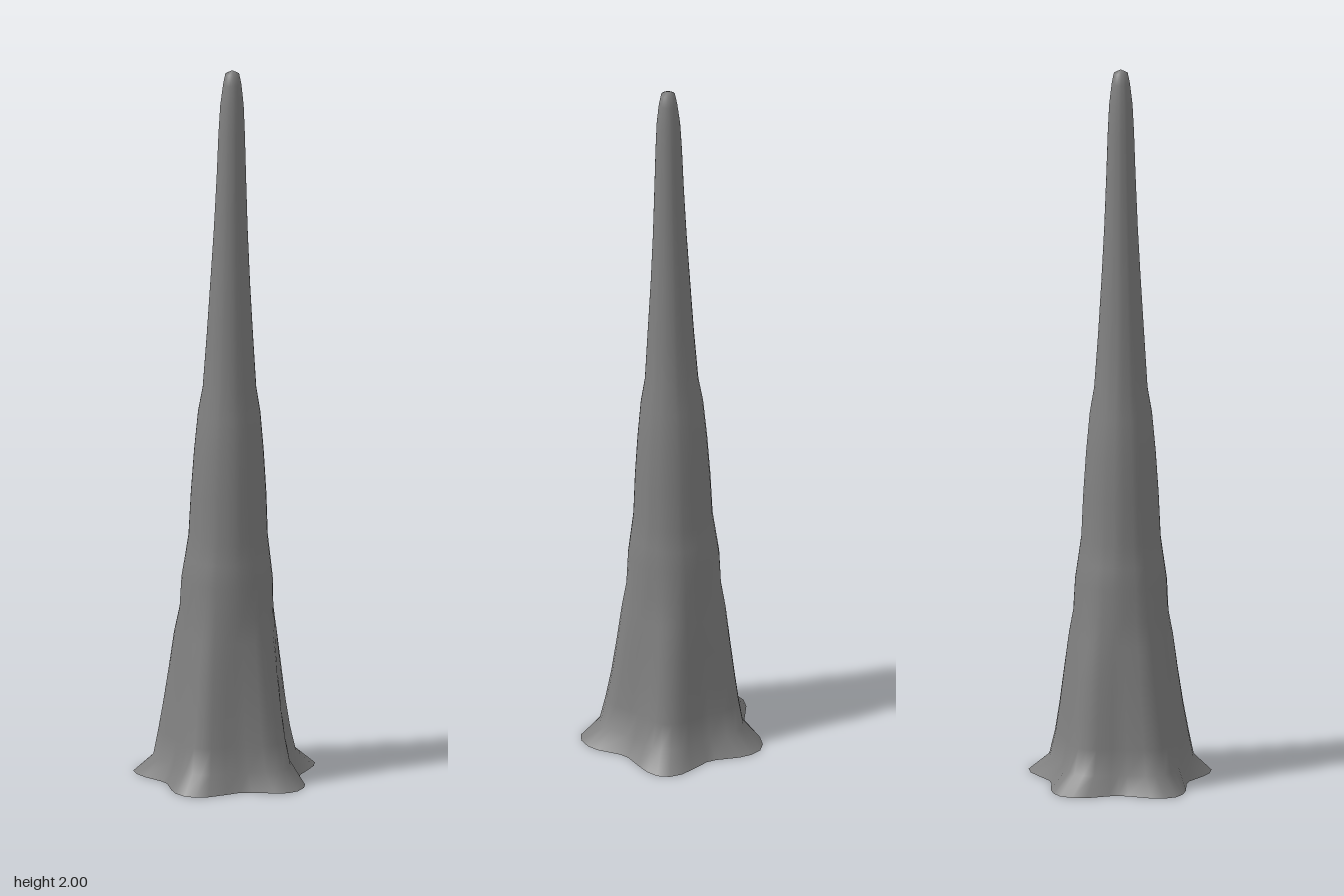
import * as THREE from 'three';

// Five-lobed foot outline as [x, z], running from +x towards +z
const FOOT = [
  [.246, .024], [.235, .056], [.206, .079], [.153, .11], [.126, .13], [.108, .167], [.081, .215], [.056, .238],
  [.024, .246], [-.012, .237], [-.042, .215], [-.087, .172], [-.112, .162], [-.174, .154], [-.21, .142],
  [-.237, .121], [-.247, .088], [-.242, .051], [-.215, -.01], [-.206, -.038], [-.208, -.063], [-.219, -.124],
  [-.213, -.163], [-.194, -.194], [-.165, -.208], [-.129, -.212], [-.063, -.203], [-.035, -.206], [.019, -.233],
  [.051, -.247], [.087, -.249], [.119, -.233], [.137, -.203], [.147, -.163], [.158, -.11], [.174, -.085],
  [.224, -.04], [.24, -.012],
];
const MEAN = 0.215;

// Cross-sections: [height, mean radius, lobe strength, centre x, centre z]
const RINGS = [
  [0, .215, 1, 0, 0], [.05, .18, .64, -.004, 0], [.12, .168, .58, -.007, 0],
  [.2, .157, .53, -.009, -.002], [.3, .146, .45, -.01, -.004], [.4, .136, .34, -.011, -.005],
  [.47, .127, .18, -.011, -.006], [.56, .124, .09, -.011, -.006], [.62, .116, .05, -.01, -.006],
  [.68, .108, .03, -.009, -.006], [.8, .103, 0, -.008, -.006], [.92, .095, 0, -.007, -.006],
  [1.03, .085, 0, -.006, -.006], [1.1, .073, 0, -.005, -.006], [1.25, .063, 0, -.003, -.005],
  [1.4, .054, 0, -.002, -.005], [1.55, .046, 0, 0, -.005], [1.7, .04, 0, .002, -.005],
  [1.82, .036, 0, .003, -.005], [1.9, .032, 0, .004, -.005], [1.96, .025, 0, .005, -.005],
  [1.99, .019, 0, .005, -.005],
];

function trunkGeometry() {
  const positions = [], index = [], n = FOOT.length;
  for (const [y, radius, lobes, cx, cz] of RINGS) {
    for (const [x, z] of FOOT) {
      // Fade from the lobed outline to a circle
      const r = Math.hypot(x, z);
      const s = radius * (1 + lobes * (r / MEAN - 1)) / r;
      positions.push(cx + x * s, y, cz + z * s);
    }
  }
  for (let i = 0; i < RINGS.length - 1; i++) {
    for (let j = 0; j < n; j++) {
      const a = i * n + j, b = i * n + (j + 1) % n;
      index.push(a, a + n, b, b, a + n, b + n);
    }
  }
  // Rounded tip closes the top; the foot stays open
  const tip = positions.length / 3, last = tip - n;
  positions.push(.005, 2, -.005);
  for (let j = 0; j < n; j++) index.push(last + j, tip, last + (j + 1) % n);

  const geometry = new THREE.BufferGeometry();
  geometry.setAttribute('position', new THREE.Float32BufferAttribute(positions, 3));
  geometry.setIndex(index);
  geometry.computeVertexNormals();
  return geometry;
}

export function createModel() {
  const group = new THREE.Group();
  group.name = 'taperedSpire';
  const material = new THREE.MeshStandardMaterial({ color: 0x808080, side: THREE.DoubleSide });
  const trunk = new THREE.Mesh(trunkGeometry(), material);
  trunk.name = 'trunk';
  group.add(trunk);
  return group;
}
